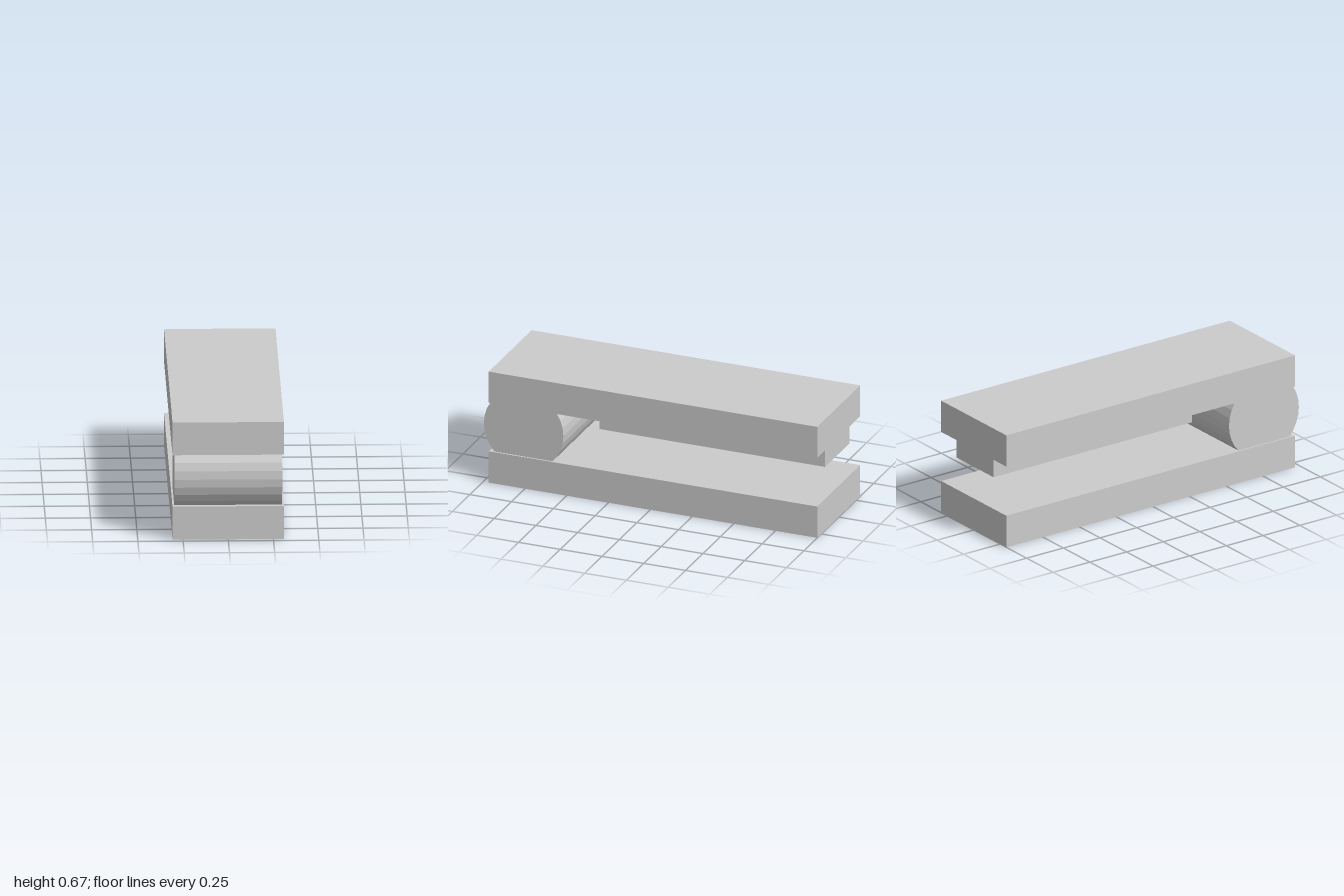
import * as THREE from 'three';

export function createModel() {
  const model = new THREE.Group();
  const material = new THREE.MeshStandardMaterial({ color: 0xcccccc, flatShading: true });

  // Box given by its width and its y and z limits, centred on x = 0
  function addBox(name, width, y0, y1, z0, z1) {
    const mesh = new THREE.Mesh(new THREE.BoxGeometry(width, y1 - y0, z1 - z0), material);
    mesh.position.set(0, (y0 + y1) / 2, (z0 + z1) / 2);
    mesh.name = name;
    model.add(mesh);
  }

  // Two long slabs and the narrow bar under the upper one
  addBox('lowerSlab', 0.616, 0, 0.189, -1, 0.967);
  addBox('upperSlab', 0.616, 0.483, 0.67, -1, 0.967);
  addBox('innerBar', 0.352, 0.373, 0.49, -0.992, 0.36);

  // Cross-wise hinge barrel, sunk into both slabs
  const barrel = new THREE.Mesh(new THREE.CylinderGeometry(0.238, 0.238, 0.596, 32), material);
  barrel.rotation.z = Math.PI / 2;
  barrel.position.set(0, 0.351, 0.762);
  barrel.name = 'hingeBarrel';
  model.add(barrel);

  return model;
}
